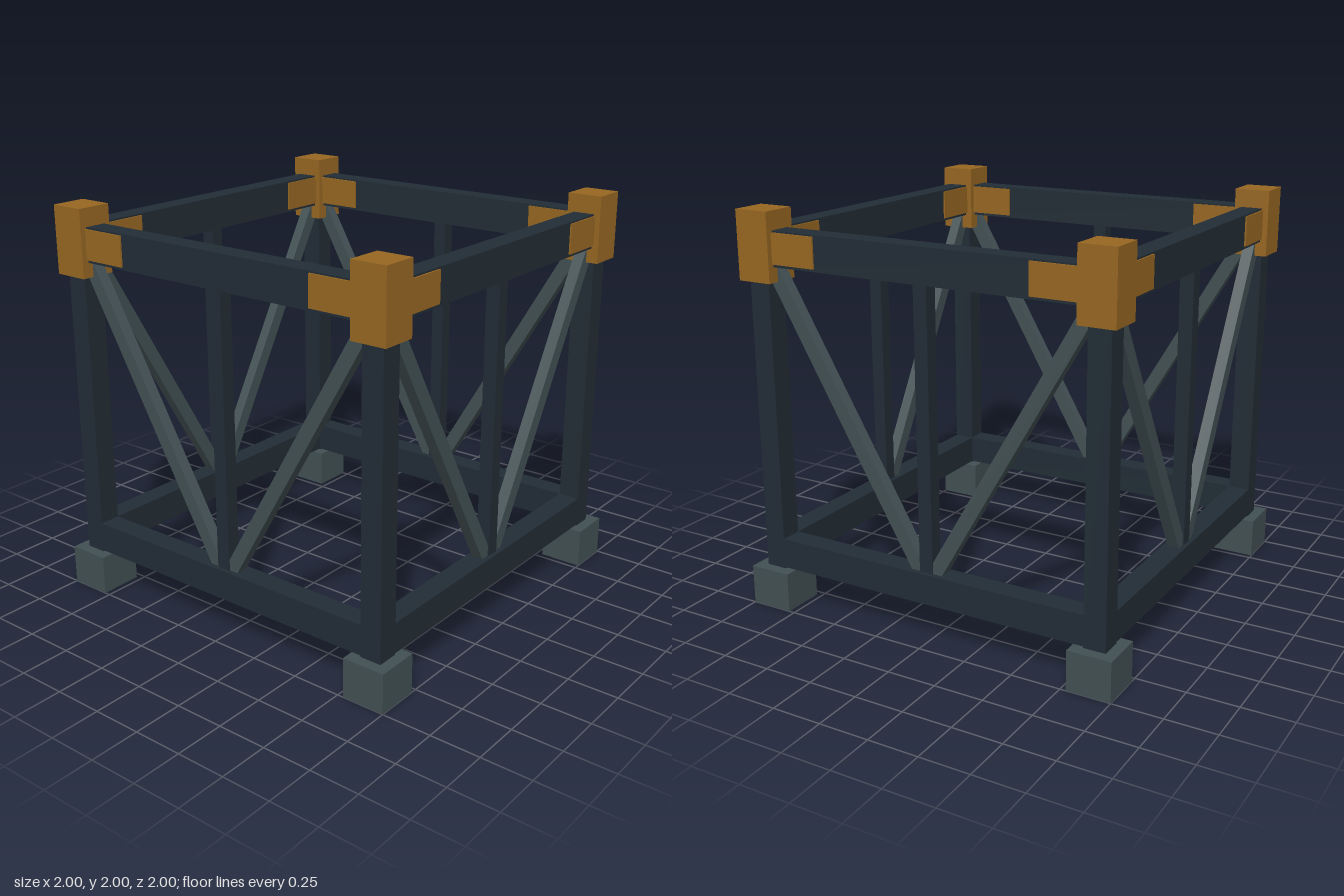
import * as THREE from 'three';

const steel = new THREE.MeshStandardMaterial({ name: 'dark steel', color: 0x222d36 });
const grey = new THREE.MeshStandardMaterial({ name: 'grey steel', color: 0x425053 });
const ochre = new THREE.MeshStandardMaterial({ name: 'ochre paint', color: 0x976722 });

const C = 0.89; // distance of post and beam axes from the centre

function box(parent, name, material, size, position) {
  const mesh = new THREE.Mesh(new THREE.BoxGeometry(...size), material);
  mesh.name = name;
  mesh.position.set(...position);
  parent.add(mesh);
  return mesh;
}

// One truss side, built facing +z
function createSide() {
  const side = new THREE.Group();
  box(side, 'topBeam', steel, [1.67, 0.172, 0.11], [0, 1.822, C]);
  box(side, 'bottomBeam', steel, [1.67, 0.152, 0.11], [0, 0.283, C]);
  box(side, 'centreStrut', steel, [0.07, 1.39, 0.07], [0, 1.047, C]);

  // Diagonals run from the middle of the bottom beam to the upper corners
  const rise = 1.82 - 0.285;
  for (const s of [-1, 1]) {
    const brace = box(side, 'diagonalBrace', grey, [0.07, Math.hypot(C, rise), 0.058], [s * C / 2, 0.285 + rise / 2, C]);
    brace.rotation.z = -s * Math.atan2(C, rise);
    // Sleeve wrapped round the end of the top beam
    box(side, 'beamSleeve', ochre, [0.25, 0.15, 0.127], [s * 0.687, 1.825, C]);
  }
  return side;
}

export function createModel() {
  const model = new THREE.Group();
  model.name = 'trussFrame';

  // Corner columns
  for (const x of [-C, C]) {
    for (const z of [-C, C]) {
      const corner = new THREE.Group();
      corner.name = 'cornerColumn';
      corner.position.set(x, 0, z);
      box(corner, 'foot', grey, [0.22, 0.2, 0.22], [0, 0.1, 0]);
      box(corner, 'post', steel, [0.11, 1.55, 0.11], [0, 0.975, 0]);
      box(corner, 'cornerCap', ochre, [0.18, 0.338, 0.18], [0, 1.831, 0]);
      model.add(corner);
    }
  }

  // Four identical truss sides
  ['frontTruss', 'leftTruss', 'backTruss', 'rightTruss'].forEach((name, i) => {
    const side = createSide();
    side.name = name;
    side.rotation.y = i * Math.PI / 2;
    model.add(side);
  });
  return model;
}
